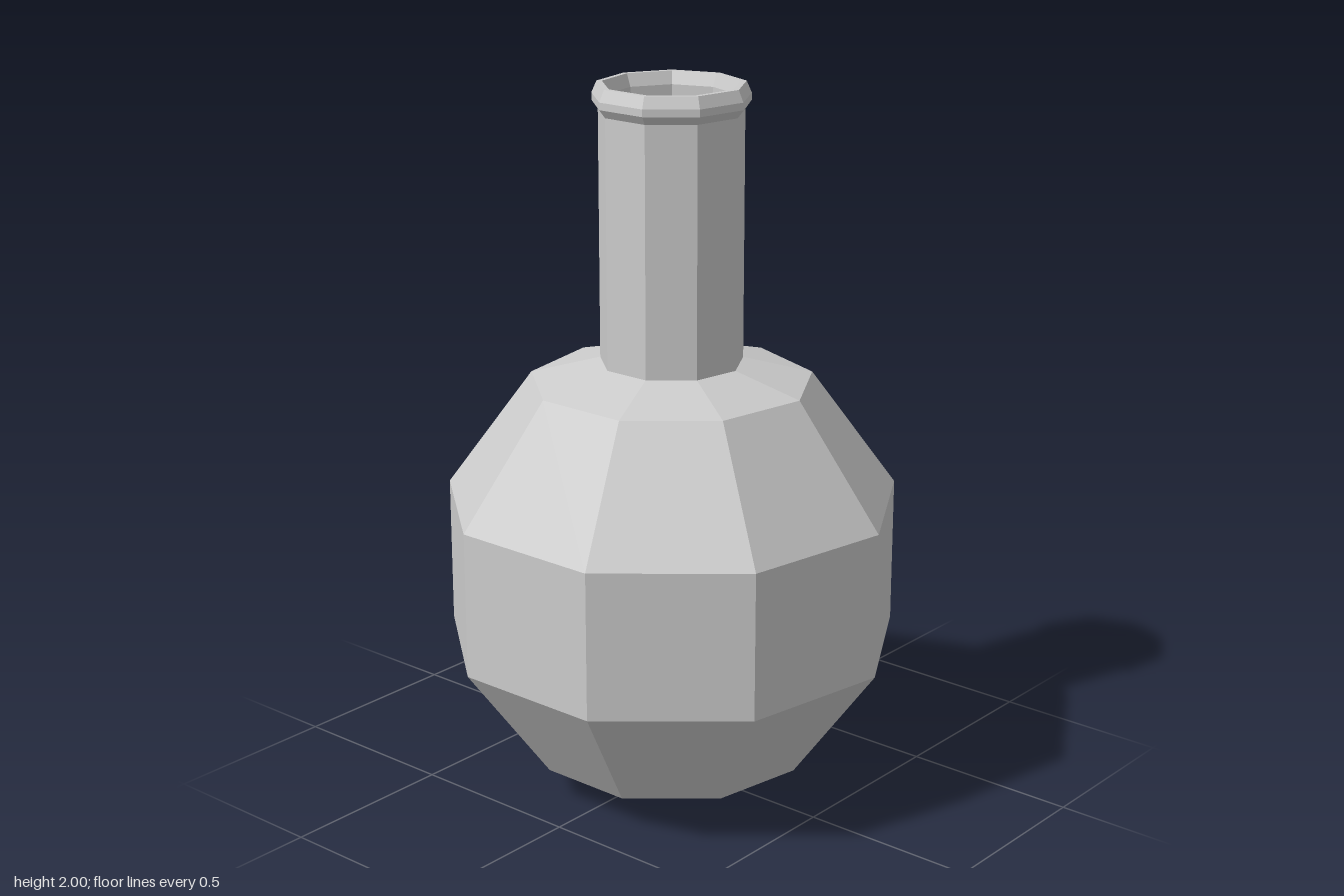
import * as THREE from 'three';

const SIDES = 9;

export function createModel() {
  const group = new THREE.Group();
  group.name = 'roundFlask';
  const material = new THREE.MeshStandardMaterial({
    color: 0xcccccc, flatShading: true, side: THREE.DoubleSide,
  });

  // Nine-sided turned part with a corner at the back and a flat at the front
  const turn = (name, profile) => {
    const points = profile.map(([r, y]) => new THREE.Vector2(r, y));
    const mesh = new THREE.Mesh(new THREE.LatheGeometry(points, SIDES, Math.PI), material);
    mesh.name = name;
    mesh.position.z = 0.019; // centres the odd-sided outline
    group.add(mesh);
  };

  // Bulb with a dimpled base
  turn('bulb', [
    [0, 0.04], [0.165, 0], [0.396, 0.09], [0.64, 0.43],
    [0.64, 0.845], [0.396, 1.182], [0.2, 1.235],
  ]);

  // Straight outer neck
  turn('neck', [[0.2, 1.235], [0.2, 1.925]]);

  // Rolled lip around the mouth
  turn('lip', [
    [0.2, 1.925], [0.217, 1.948], [0.217, 1.968], [0.203, 2],
    [0.188, 2], [0.174, 1.965],
  ]);

  // Inner wall of the neck, open into the bulb
  turn('neckInside', [[0.174, 1.965], [0.174, 1.235]]);

  return group;
}
